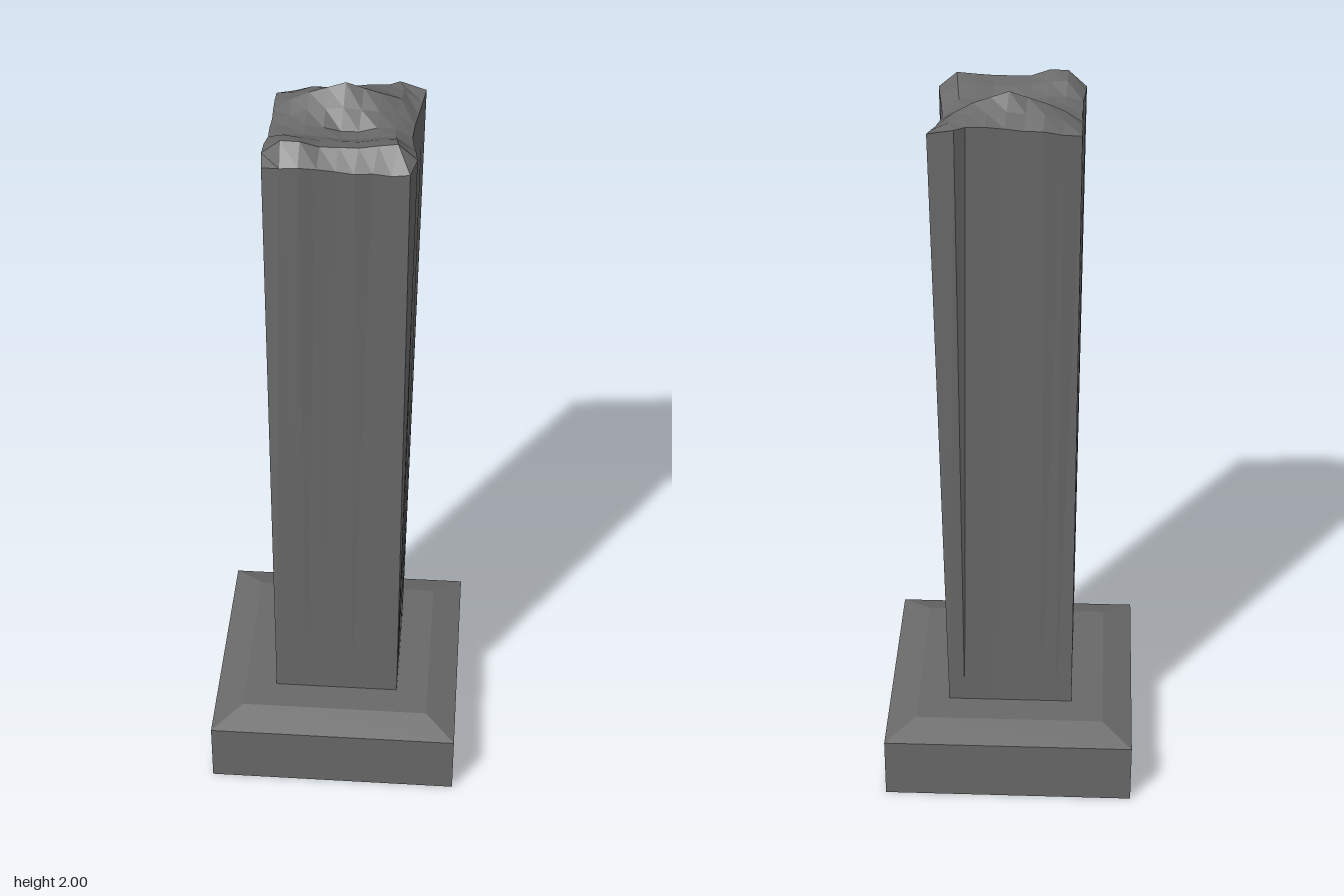
import * as THREE from 'three';

const N = 8; // cells along each side of the broken top
// Outline of the broken top, edge by edge
const LEFT = [-0.175, -0.175, -0.175, -0.173, -0.175, -0.174, -0.18, -0.182, -0.178];
const RIGHT = [0.2, 0.193, 0.185, 0.178, 0.175, 0.18, 0.187, 0.193, 0.178];
const BACK = [-0.175, -0.183, -0.188, -0.187, -0.187, -0.19, -0.192, -0.212, -0.2];
const FRONT = [0.177, 0.187, 0.19, 0.185, 0.183, 0.184, 0.178, 0.178, 0.178];
// Heights of the break in hundredths above 1.9, rows from back to front
const RISE = [
  [2, 2.5, 3.5, 3.5, 4, 4.5, 4.5, 4.5, 3],
  [2.5, 4.5, 6, 6, 6.5, 6, 5.5, 4.5, 2],
  [2, 5, 7, 8.5, 10, 8.5, 7, 5, 1],
  [2, 3, 4.5, 5, 5.5, 5, 4.5, 3, 0.5],
  [2, 2.5, 3, 2.5, 1.5, 1.5, 2.5, 2, 0],
  [2, 3, 3, 2.5, 2, 2, 2.5, 2.5, 0.5],
  [2.5, 5.5, 5, 4, 4, 4, 4.5, 4.5, 1.5],
  [2.5, 6.5, 6.5, 5, 5, 5, 5.5, 6, 2],
  [1, 1.5, 2, 1.5, 1, 0.5, 0.5, 0, 0.5],
];

const { lerp } = THREE.MathUtils;

function topPoint(i, j) {
  // pull the last inner column of the back edge inwards
  const x = lerp(LEFT[j], RIGHT[j], i / N) - (i === 7 && j === 0 ? 0.02 : 0);
  return [x, 1.9 + RISE[j][i] / 100, lerp(BACK[i], FRONT[i], j / N)];
}

function footPoint(i, j) {
  return [lerp(-0.172, 0.172, i / N), 0.2, lerp(-0.172, 0.172, j / N)];
}

// Faceted geometry from quads given counter-clockwise
function fromQuads(quads) {
  const pos = quads.flatMap(([a, b, c, d]) => [...a, ...b, ...c, ...a, ...c, ...d]);
  const geo = new THREE.BufferGeometry();
  geo.setAttribute('position', new THREE.Float32BufferAttribute(pos, 3));
  geo.computeVertexNormals();
  return geo;
}

export function createModel() {
  const model = new THREE.Group();
  model.name = 'brokenPillar';
  const stone = new THREE.MeshStandardMaterial({ color: 0x696969 });
  stone.name = 'darkStone';

  const add = (name, geo) => {
    const mesh = new THREE.Mesh(geo, stone);
    mesh.name = name;
    model.add(mesh);
  };

  // Square plinth with a bevelled top
  const profile = [[0, 0], [0.342, 0], [0.342, 0.175], [0.26, 0.205], [0, 0.205]]
    .map(([r, y]) => new THREE.Vector2(r * Math.SQRT2, y));
  const plinth = new THREE.LatheGeometry(profile, 4, Math.PI / 4).toNonIndexed();
  plinth.computeVertexNormals();
  add('plinth', plinth);

  // Shaft walls, from the square foot to the broken rim
  const rim = [];
  for (let k = 0; k < N; k++) rim.push([k, N]); // front
  for (let k = N; k > 0; k--) rim.push([N, k]); // right-hand edge
  for (let k = N; k > 0; k--) rim.push([k, 0]); // back
  for (let k = 0; k < N; k++) rim.push([0, k]); // left-hand edge
  add('shaft', fromQuads(rim.map((p, k) => {
    const q = rim[(k + 1) % rim.length];
    return [footPoint(...p), footPoint(...q), topPoint(...q), topPoint(...p)];
  })));

  // Rough broken top
  const cells = [];
  for (let j = 0; j < N; j++) {
    for (let i = 0; i < N; i++) {
      cells.push([topPoint(i, j), topPoint(i, j + 1), topPoint(i + 1, j + 1), topPoint(i + 1, j)]);
    }
  }
  add('brokenTop', fromQuads(cells));

  return model;
}
